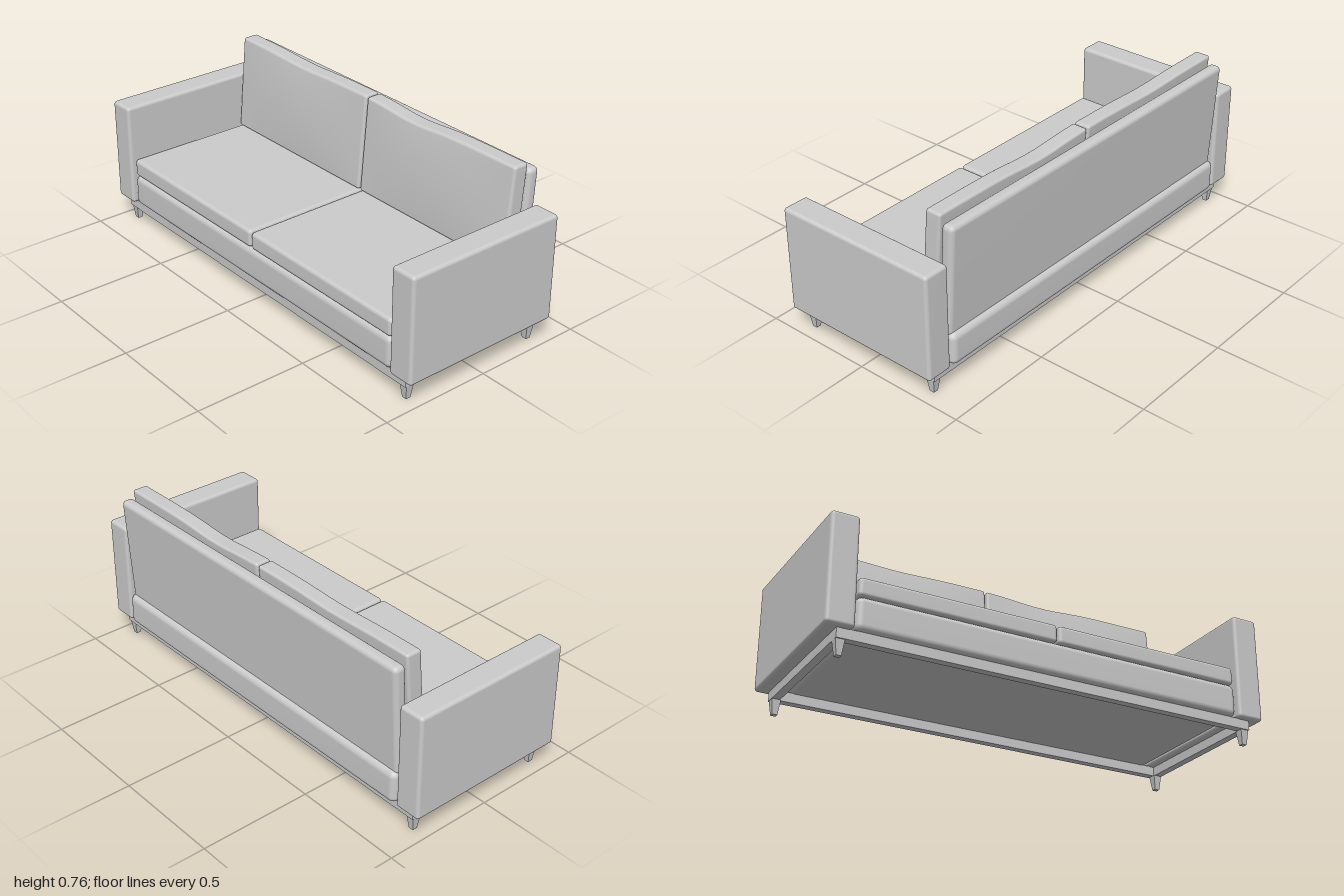
import * as THREE from 'three';
import { mergeVertices } from 'three/addons/utils/BufferGeometryUtils.js';

const material = new THREE.MeshStandardMaterial({ color: 0xcccccc });

function addMesh(parent, name, geometry, x, y, z) {
  const mesh = new THREE.Mesh(geometry, material);
  mesh.name = name;
  mesh.position.set(x, y, z);
  parent.add(mesh);
  return mesh;
}

// Padded box with rounded edges; "inner" divides the flat faces so "shape" can bend them.
function softBox(w, h, d, r, inner = 1, shape = null) {
  const rounds = 4;
  const n = inner + 2 * rounds;
  const half = [w / 2, h / 2, d / 2];
  let geo = new THREE.BoxGeometry(2, 2, 2, n, n, n);
  geo.deleteAttribute('uv');
  geo.deleteAttribute('normal');
  geo = mergeVertices(geo);
  const pos = geo.attributes.position;
  const p = new THREE.Vector3();
  const core = new THREE.Vector3();
  // grid line -> coordinate: fine steps in the rounded zone, even steps between
  const place = (t, a) => {
    const i = Math.round((t + 1) / 2 * n);
    if (i <= rounds) return -a + r * i / rounds;
    if (i >= n - rounds) return a - r * (n - i) / rounds;
    return -a + r + (2 * a - 2 * r) * (i - rounds) / inner;
  };
  for (let i = 0; i < pos.count; i++) {
    p.fromBufferAttribute(pos, i);
    p.set(place(p.x, half[0]), place(p.y, half[1]), place(p.z, half[2]));
    core.set(...['x', 'y', 'z'].map((k, j) => THREE.MathUtils.clamp(p[k], r - half[j], half[j] - r)));
    p.sub(core).setLength(r).add(core);
    if (shape) shape(p);
    pos.setXYZ(i, p.x, p.y, p.z);
  }
  geo.computeVertexNormals();
  return geo;
}

export function createModel() {
  const sofa = new THREE.Group();
  sofa.name = 'sofa';

  // Open rail frame, visible from below
  const frame = new THREE.Group();
  frame.name = 'baseFrame';
  sofa.add(frame);
  const rail = 0.035, railH = 0.043, railY = 0.0855;
  for (const z of [0.36 - rail / 2, -0.342 + rail / 2])
    addMesh(frame, 'longRail', new THREE.BoxGeometry(1.89, railH, rail), 0, railY, z);
  for (const s of [-1, 1])
    addMesh(frame, 'endRail', new THREE.BoxGeometry(rail, railH, 0.702 - 2 * rail), s * (0.945 - rail / 2), railY, 0.009);

  // Tapered square legs
  const legGeo = new THREE.CylinderGeometry(0.019 * Math.SQRT2, 0.011 * Math.SQRT2, 0.064, 4)
    .rotateY(Math.PI / 4).toNonIndexed();
  legGeo.computeVertexNormals();
  for (const x of [-0.925, 0.925])
    for (const z of [0.335, -0.317]) addMesh(sofa, 'leg', legGeo, x, 0.032, z);

  // Arms
  for (const s of [-1, 1])
    addMesh(sofa, s > 0 ? 'leftArm' : 'rightArm', softBox(0.12, 0.473, 0.757, 0.015), s * 0.94, 0.3415, 0.0085);

  // Padded seat base
  addMesh(sofa, 'seatBase', softBox(1.745, 0.146, 0.755, 0.028), 0, 0.178, -0.0005);

  // Leaning back panel
  const backPanel = softBox(1.74, 0.5, 0.058, 0.022, 1, (p) => { p.z -= 0.06 * p.y; });
  addMesh(sofa, 'backPanel', backPanel, 0, 0.481, -0.342);

  // Pairs of loose seat and back cushions
  for (const s of [-1, 1]) {
    const side = s > 0 ? 'left' : 'right';
    addMesh(sofa, side + 'SeatCushion', softBox(0.863, 0.08, 0.68, 0.016), s * 0.435, 0.291, 0.034);

    const dipX = s > 0 ? -0.15 : 0;
    const dip = s > 0 ? 0.016 : 0.009;
    const backCushion = softBox(0.862, 0.433, 0.073, 0.012, 14, (p) => {
      const u = p.x / 0.431, v = p.y / 0.2165;
      // sagging top edge and slightly puffed front face
      p.y -= dip * Math.exp(-(((p.x - dipX) / 0.17) ** 2)) * Math.max(0, v) ** 2;
      if (p.z > 0) p.z += 0.011 * Math.max(0, 1 - u * u) * Math.max(0, 1 - v * v);
      p.z -= 0.085 * p.y;
    });
    addMesh(sofa, side + 'BackCushion', backCushion, s * 0.435, 0.5475, -0.269);
  }

  return sofa;
}
